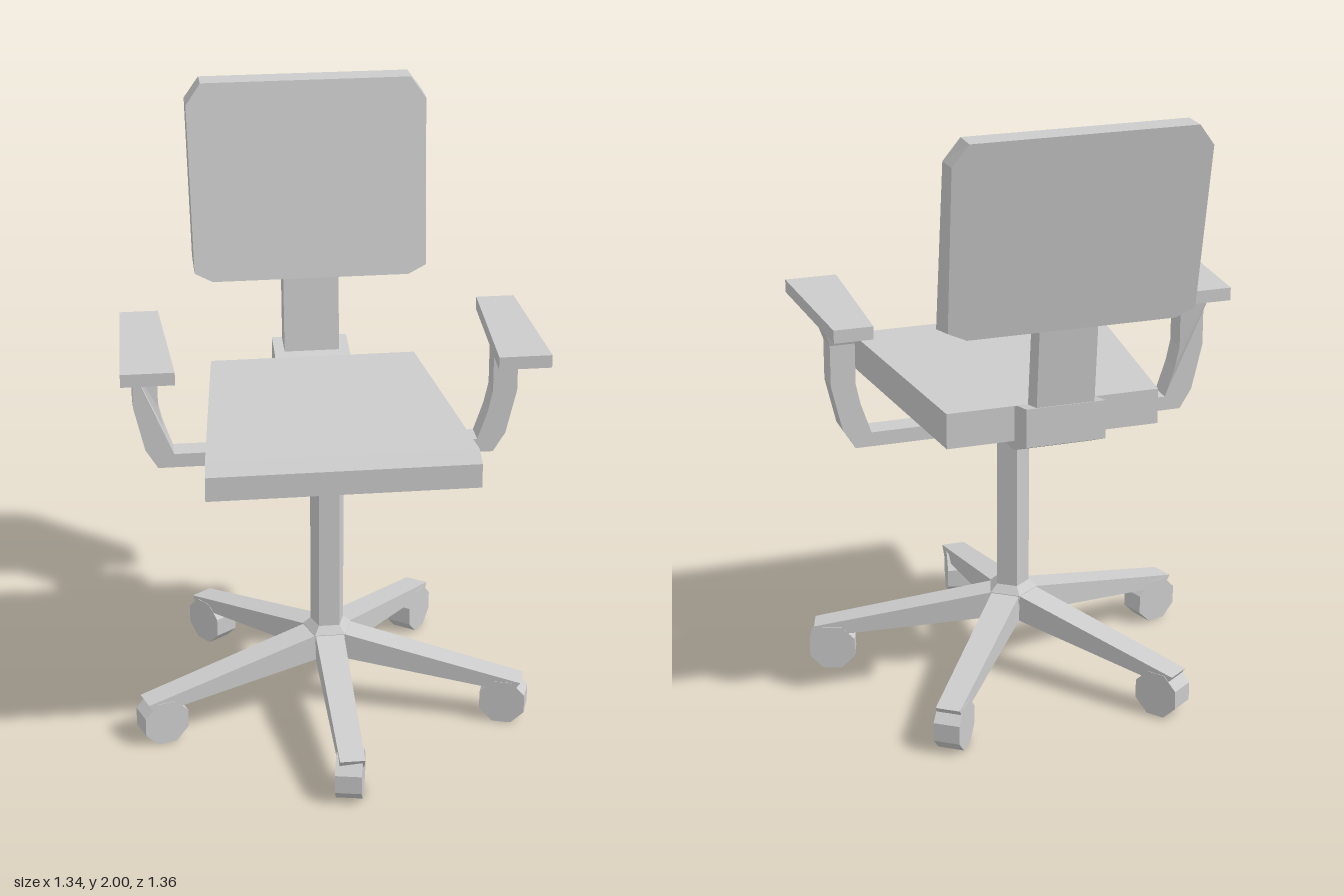
import * as THREE from 'three';

const material = new THREE.MeshStandardMaterial({ color: 0xcccccc, flatShading: true });

function mesh(name, geometry) {
  const m = new THREE.Mesh(geometry, material);
  m.name = name;
  return m;
}

// Extrudes a closed outline along z, starting at z = 0
function extrude(points, depth) {
  const shape = new THREE.Shape(points.map(([a, b]) => new THREE.Vector2(a, b)));
  return new THREE.ExtrudeGeometry(shape, { depth, bevelEnabled: false });
}

// Extrudes a side outline of [z, y] points across x, centred on x = 0
function sideProfile(points, width) {
  return extrude(points, width).rotateY(-Math.PI / 2).translate(width / 2, 0, 0);
}

// Moves every vertex by a rule
function reshape(geometry, rule) {
  const p = geometry.attributes.position;
  const v = new THREE.Vector3();
  for (let i = 0; i < p.count; i++) {
    rule(v.fromBufferAttribute(p, i));
    p.setXYZ(i, v.x, v.y, v.z);
  }
  geometry.computeVertexNormals();
  return geometry;
}

// Five-sided section with a flat side to the front
function pentagon(name, rTop, rBottom, y0, y1) {
  const g = new THREE.CylinderGeometry(rTop, rBottom, y1 - y0, 5, 1, false, Math.PI / 5);
  return mesh(name, g.translate(0, (y0 + y1) / 2, 0));
}

function createSeat() {
  // Tapers towards the back, with a bevelled front edge
  const g = sideProfile([[-0.41, 0.975], [0.44, 0.975], [0.44, 1.055], [0.40, 1.09], [-0.41, 1.09]], 2);
  return mesh('seat', reshape(g, v => { v.x *= 0.345 + (v.z + 0.41) * 0.1; }));
}

function createBackrest() {
  const group = new THREE.Group();
  group.name = 'backrest';

  // Leaning panel with cut corners, thinner towards the top
  const outline = [[-0.33, 1.355], [0.33, 1.355], [0.39, 1.385], [0.40, 1.93],
    [0.35, 2], [-0.35, 2], [-0.40, 1.93], [-0.39, 1.385]];
  const panel = reshape(extrude(outline, 1), v => {
    const t = (v.y - 1.355) / 0.645;
    const back = 1 - v.z;
    v.z = -0.455 - 0.135 * t - back * (0.12 - 0.035 * t);
    v.y += back * 0.025 * (1 - t);
  });
  group.add(mesh('backPanel', panel));

  group.add(mesh('backStem', sideProfile(
    [[-0.515, 1.08], [-0.435, 1.08], [-0.47, 1.40], [-0.545, 1.40]], 0.186)));
  group.add(mesh('backBracket', sideProfile(
    [[-0.11, 0.98], [-0.11, 0.94], [-0.40, 0.94], [-0.525, 0.995], [-0.525, 1.12],
      [-0.435, 1.10], [-0.405, 1.085], [-0.405, 0.98]], 0.255)));
  return group;
}

function createArmrest(side) {
  const group = new THREE.Group();
  group.name = side > 0 ? 'leftArmrest' : 'rightArmrest';

  // Curved support, flaring under the pad
  const outer = [[0.27, 0.885], [0.55, 0.885], [0.59, 0.95], [0.625, 1.10], [0.625, 1.235], [0.648, 1.30]];
  const inner = [[0.524, 1.30], [0.545, 1.235], [0.545, 1.10], [0.53, 1.03], [0.497, 0.932],
    [0.325, 0.932], [0.325, 0.98], [0.27, 0.98]];
  const mirrored = [...outer, ...inner].map(([x, y]) => [x * side, y]);
  const support = extrude(mirrored, 0.08).translate(0, 0, -0.04);
  reshape(support, v => {
    if (v.y > 1.27) v.z *= 1.6;
    v.z -= 0.058;
  });
  group.add(mesh('armSupport', support));

  // Pad widens towards the front
  const pad = new THREE.BoxGeometry(1, 0.042, 0.53).translate(0, 1.319, 0.012);
  reshape(pad, v => { v.x = side * 0.588 + v.x * (v.z > 0 ? 0.168 : 0.125); });
  group.add(mesh('armPad', pad));
  return group;
}

function createBase() {
  const group = new THREE.Group();
  group.name = 'base';
  group.add(pentagon('socket', 0.075, 0.075, 0.91, 0.98));
  group.add(pentagon('socketTaper', 0.075, 0.058, 0.88, 0.91));
  group.add(pentagon('column', 0.058, 0.058, 0.28, 0.90));
  group.add(pentagon('hubCollar', 0.058, 0.085, 0.28, 0.305));
  group.add(pentagon('hub', 0.085, 0.08, 0.195, 0.28));

  for (let i = 0; i < 5; i++) {
    const spoke = new THREE.Group();
    spoke.name = 'spoke' + (i + 1);
    // Leg slopes down and narrows towards its tip
    const leg = sideProfile([[0, 0.197], [0.635, 0.115], [0.66, 0.152], [0.06, 0.28], [0, 0.28]], 2);
    reshape(leg, v => { v.x *= 0.048 - 0.012 * v.z; });
    spoke.add(mesh('leg', leg));

    const wheel = new THREE.CylinderGeometry(0.081, 0.081, 0.085, 8, 1, false, Math.PI / 8);
    const caster = mesh('caster', wheel.rotateZ(Math.PI / 2));
    caster.position.set(0, 0.075, 0.6);
    if (i === 0) caster.rotation.y = -0.21;
    spoke.add(caster);

    spoke.rotation.y = i * Math.PI * 2 / 5;
    group.add(spoke);
  }
  return group;
}

export function createModel() {
  const model = new THREE.Group();
  model.name = 'officeChair';
  model.add(createSeat(), createBackrest(), createArmrest(1), createArmrest(-1), createBase());
  return model;
}
